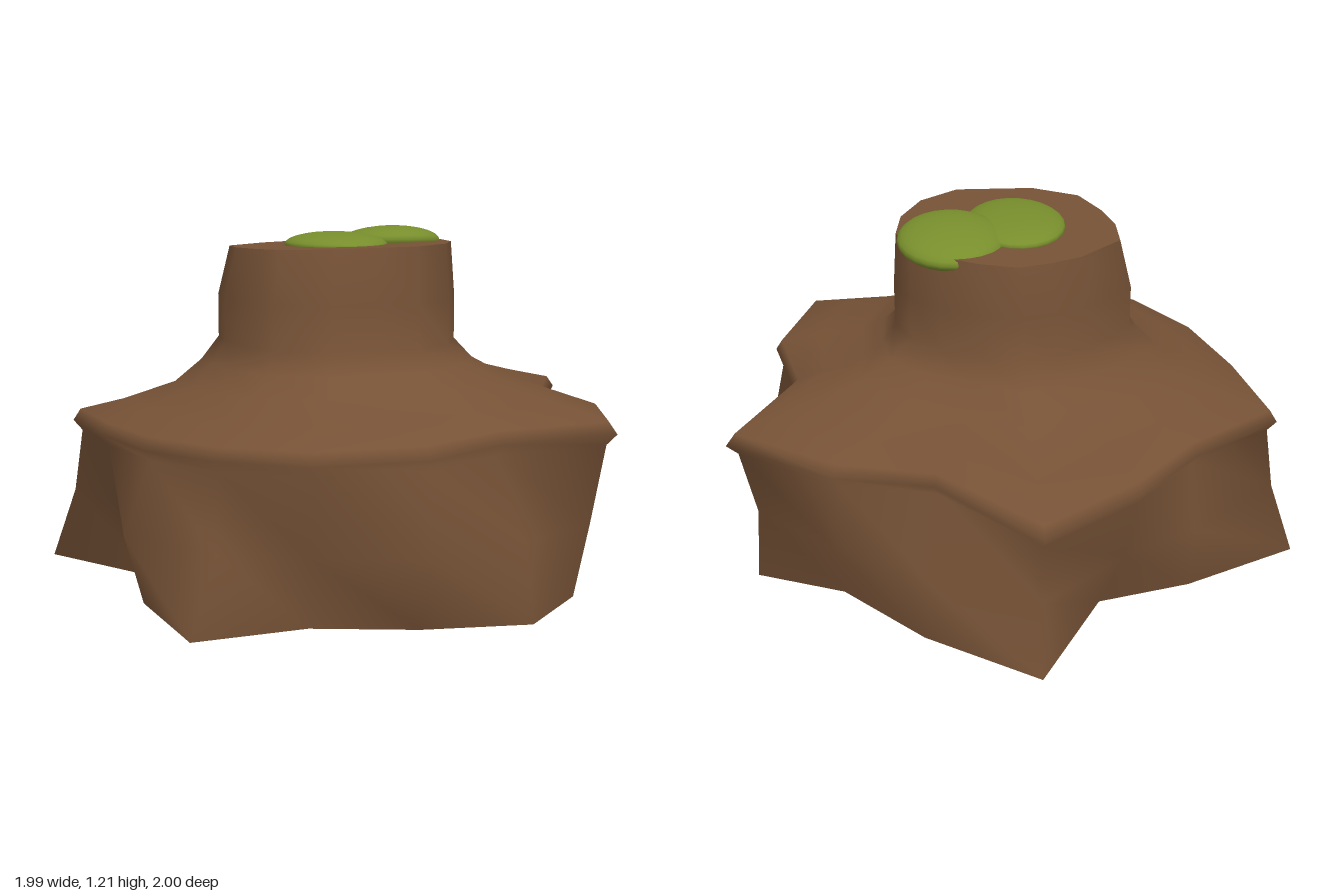
import * as THREE from 'three';

const SIDES = 16;

// Outlines as [x, z] points, starting at the back and running towards +x
const BASE = [[0, -1], [0.36, -0.73], [0.62, -0.43], [0.92, -0.29], [0.9, 0.08], [0.71, 0.37], [0.61, 0.69], [0.36, 0.93],
  [0, 0.88], [-0.33, 0.77], [-0.71, 0.8], [-0.78, 0.36], [-0.71, 0.04], [-1, -0.34], [-0.58, -0.52], [-0.25, -0.59]];
const MIDDLE = [[0, -0.94], [0.35, -0.75], [0.64, -0.55], [0.905, -0.27], [0.89, 0.05], [0.8, 0.4], [0.66, 0.7], [0.36, 0.86],
  [0, 0.995], [-0.35, 0.85], [-0.61, 0.72], [-0.85, 0.43], [-0.79, 0.06], [-0.92, -0.3], [-0.58, -0.56], [-0.31, -0.7]];
const SHOULDER = [[0, -1], [0.31, -0.65], [0.64, -0.57], [0.99, -0.33], [0.77, 0.07], [0.84, 0.41], [0.71, 0.78], [0.3, 0.8],
  [0, 0.96], [-0.35, 0.92], [-0.61, 0.7], [-0.78, 0.42], [-0.87, 0.07], [-0.92, -0.3], [-0.59, -0.51], [-0.35, -0.76]];
const RIM = [[0, -0.33], [0.13, -0.29], [0.25, -0.22], [0.34, -0.12], [0.385, 0], [0.36, 0.16], [0.28, 0.32], [0.14, 0.43],
  [0, 0.43], [-0.14, 0.43], [-0.3, 0.34], [-0.36, 0.18], [-0.385, 0.04], [-0.375, -0.11], [-0.22, -0.25], [-0.11, -0.3]];
const NECK = RIM.map(([x, z]) => [x * 1.07 - 0.015, z * 1.08]);

function blend(from, to, t) {
  return from.map(([x, z], i) => [x + (to[i][0] - x) * t, z + (to[i][1] - z) * t]);
}

function makeGeometry(points, index) {
  const g = new THREE.BufferGeometry();
  g.setAttribute('position', new THREE.Float32BufferAttribute(points, 3));
  g.setIndex(index);
  g.computeVertexNormals();
  return g;
}

// Smooth skin through a stack of closed outlines
function loft(rings) {
  const points = [], index = [];
  rings.forEach(({ y, tilt = 0, outline }) => outline.forEach(([x, z]) => points.push(x, y + tilt * (x + z), z)));
  for (let r = 0; r < rings.length - 1; r++) {
    for (let i = 0; i < SIDES; i++) {
      const j = (i + 1) % SIDES;
      const a = r * SIDES + i, b = r * SIDES + j;
      index.push(a, a + SIDES, b + SIDES, a, b + SIDES, b);
    }
  }
  return makeGeometry(points, index);
}

// Flat fan closing one outline
function fan({ y, tilt, outline }, centreZ) {
  const points = [0, y + tilt * centreZ, centreZ], index = [];
  outline.forEach(([x, z], i) => {
    points.push(x, y + tilt * (x + z), z);
    index.push(0, 1 + ((i + 1) % SIDES), 1 + i);
  });
  return makeGeometry(points, index);
}

export function createModel() {
  const group = new THREE.Group();
  const bark = new THREE.MeshStandardMaterial({ color: 0x765236, side: THREE.DoubleSide });
  bark.name = 'brown bark';
  const green = new THREE.MeshStandardMaterial({ color: 0x788e2c });
  green.name = 'moss green';

  const add = (name, geometry, material) => {
    const mesh = new THREE.Mesh(geometry, material);
    mesh.name = name;
    group.add(mesh);
    return mesh;
  };

  // Hollow trunk: twisted root flare, rounded lip, sloping shoulder and neck
  const top = { y: 1.15, tilt: 0.018, outline: RIM };
  add('trunk', loft([
    { y: 0, outline: BASE },
    { y: 0.25, outline: MIDDLE },
    { y: 0.495, tilt: 0.02, outline: blend(NECK, SHOULDER, 0.94) },
    { y: 0.532, tilt: 0.02, outline: SHOULDER },
    { y: 0.573, tilt: 0.02, outline: blend(NECK, SHOULDER, 0.95) },
    { y: 0.617, tilt: 0.028, outline: blend(NECK, SHOULDER, 0.65) },
    { y: 0.68, tilt: 0.035, outline: blend(NECK, SHOULDER, 0.3) },
    { y: 0.745, tilt: 0.015, outline: blend(NECK, SHOULDER, 0.12) },
    { y: 0.82, outline: NECK },
    { y: 0.97, outline: NECK },
    top,
  ]), bark);

  // Cut top
  add('cutTop', fan(top, 0.05), bark);

  // Moss cushions: two on the cut, one inside the hollow
  const moss = [
    { at: [-0.035, 1.15, 0.07], size: [0.175, 0.045, 0.24], tilt: 0 },
    { at: [0.2, 1.147, -0.055], size: [0.185, 0.06, 0.205], tilt: -0.1 },
    { at: [0.41, 0.47, 0.3], size: [0.18, 0.07, 0.2], tilt: 0 },
  ];
  moss.forEach(({ at, size, tilt }, i) => {
    const cushion = add('moss' + (i + 1), new THREE.SphereGeometry(1, 24, 14), green);
    cushion.position.set(...at);
    cushion.scale.set(...size);
    cushion.rotation.x = tilt;
  });

  return group;
}
